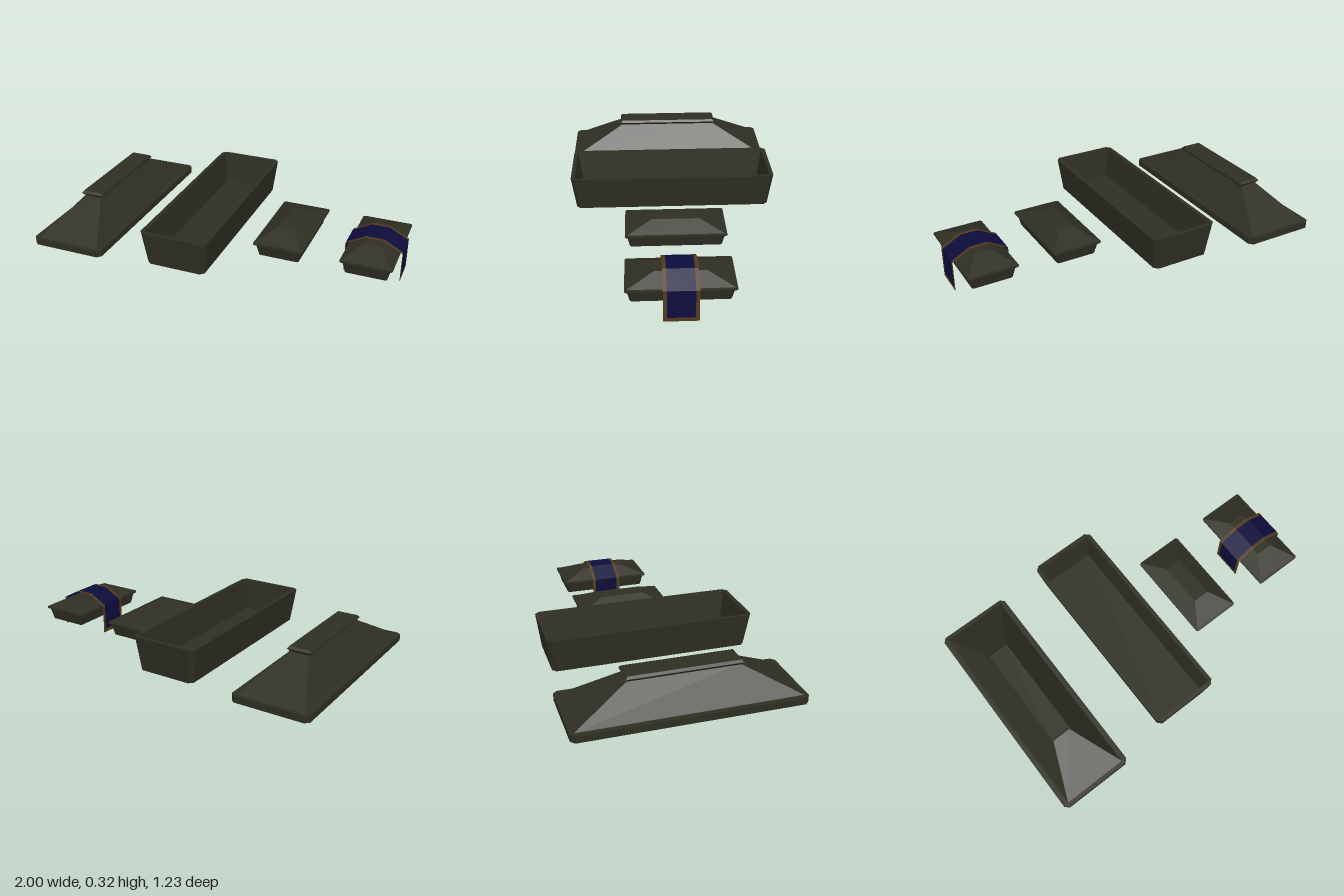
import * as THREE from 'three';

// Lofts rectangles with clipped corners; rings are [halfX, halfZ, y, clip], capped at both ends
function loft(rings) {
  const loops = rings.map(([x, z, y, c]) => [
    [-x + c, z], [x - c, z], [x, z - c], [x, c - z],
    [x - c, -z], [c - x, -z], [-x, c - z], [-x, z - c],
  ].map(([px, pz]) => [px, y, pz]));
  const pos = [];
  const tri = (a, b, c) => pos.push(...a, ...b, ...c);
  for (let i = 0; i + 1 < loops.length; i++) {
    for (let j = 0; j < 8; j++) {
      const k = (j + 1) % 8, lo = loops[i], hi = loops[i + 1];
      tri(lo[j], lo[k], hi[k]);
      tri(lo[j], hi[k], hi[j]);
    }
  }
  const first = loops[0], last = loops[loops.length - 1];
  for (let j = 1; j < 7; j++) {
    tri(first[0], first[j + 1], first[j]);
    tri(last[0], last[j], last[j + 1]);
  }
  const g = new THREE.BufferGeometry();
  g.setAttribute('position', new THREE.Float32BufferAttribute(pos, 3));
  g.computeVertexNormals();
  return g;
}

// Sheet following a profile of [x, y] points between two z values
function sheet(profile, z0, z1) {
  const pos = [];
  for (let i = 0; i + 1 < profile.length; i++) {
    const [ax, ay] = profile[i], [bx, by] = profile[i + 1];
    pos.push(ax, ay, z0, ax, ay, z1, bx, by, z1, ax, ay, z0, bx, by, z1, bx, by, z0);
  }
  const g = new THREE.BufferGeometry();
  g.setAttribute('position', new THREE.Float32BufferAttribute(pos, 3));
  g.computeVertexNormals();
  return g;
}

export function createModel() {
  const model = new THREE.Group();
  const stone = new THREE.MeshStandardMaterial({ color: 0x2f2e23 });
  stone.name = 'dark stone';
  const blue = new THREE.MeshStandardMaterial({ color: 0x0c0c3c, side: THREE.DoubleSide });
  blue.name = 'navy cloth';
  const gold = new THREE.MeshStandardMaterial({ color: 0x523a1e, side: THREE.DoubleSide });
  gold.name = 'gold trim';

  const add = (parent, name, geometry, material) => {
    const mesh = new THREE.Mesh(geometry, material);
    mesh.name = name;
    parent.add(mesh);
  };
  const group = (name, x) => {
    const g = new THREE.Group();
    g.name = name;
    g.position.x = x;
    model.add(g);
    return g;
  };

  // Large hollow lid: ceiling, inside slope, rim, outside slope
  const lid = group('largeLid', -0.785);
  add(lid, 'lidShell', loft([
    [0.045, 0.28, 0.28, 0],
    [0.19, 0.585, 0.12, 0.015],
    [0.2, 0.6, 0.095, 0.02],
    [0.215, 0.617, 0.095, 0.022],
    [0.215, 0.617, 0.133, 0.022],
    [0.185, 0.595, 0.133, 0],
    [0.05, 0.295, 0.29, 0],
  ]), stone);
  add(lid, 'lidCrown', loft([
    [0.057, 0.297, 0.289, 0],
    [0.068, 0.308, 0.304, 0],
    [0.058, 0.298, 0.317, 0],
  ]), stone);

  // Large open trough
  const trough = group('trough', -0.136);
  add(trough, 'troughShell', loft([
    [0.17, 0.563, 0.095, 0.022],
    [0.194, 0.588, 0.292, 0.024],
    [0.171, 0.565, 0.292, 0],
    [0.147, 0.54, 0.108, 0],
  ]), stone);

  // Two small hollow caskets with hipped roofs
  const casket = (name, x) => {
    const g = group(name, x);
    add(g, 'casketShell', loft([
      [0.04, 0.125, 0.215, 0],
      [0.12, 0.24, 0.166, 0],
      [0.105, 0.24, 0.095, 0.006],
      [0.115, 0.25, 0.095, 0.008],
      [0.13, 0.265, 0.165, 0.008],
      [0.143, 0.275, 0.165, 0.008],
      [0.143, 0.275, 0.174, 0.008],
      [0.133, 0.265, 0.176, 0],
      [0.048, 0.13, 0.224, 0],
    ]), stone);
    return g;
  };
  casket('smallCasket', 0.349);
  const draped = casket('drapedCasket', 0.841);

  // Cloth over the roof, hanging down both sides, with gold borders
  const drape = (hem) => [
    [0.158, hem], [0.158, 0.18], [0.05, 0.238],
    [-0.05, 0.238], [-0.158, 0.18], [-0.158, hem],
  ];
  add(draped, 'cloth', sheet(drape(0.022), -0.071, 0.071), blue);
  for (const s of [-1, 1]) {
    add(draped, 'clothBorder', sheet(drape(0), s * 0.09, s * 0.071), gold);
    add(draped, 'clothHem', sheet([[s * 0.158, 0], [s * 0.158, 0.022]], -0.071, 0.071), gold);
  }
  return model;
}
